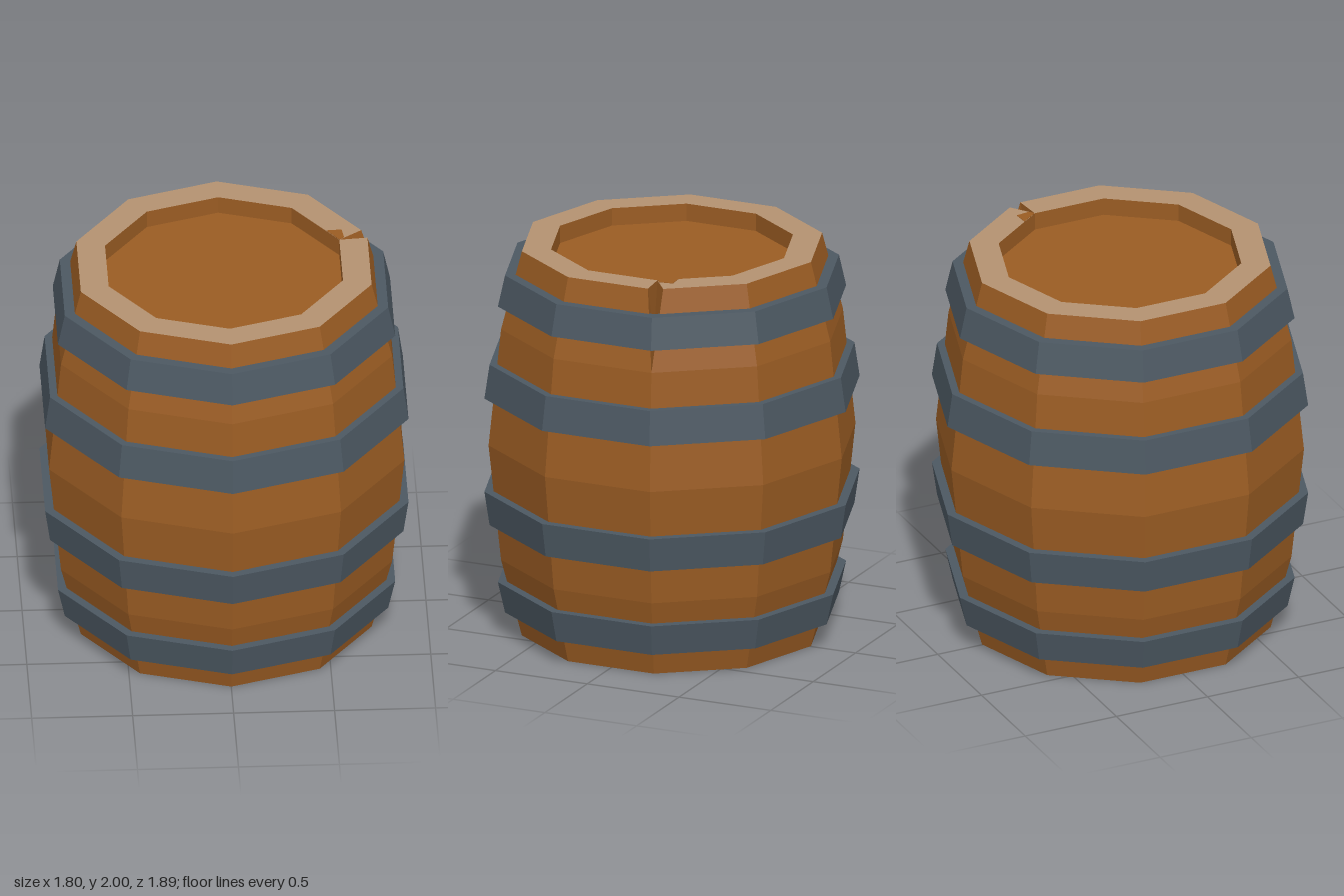
import * as THREE from 'three';

const SIDES = 10;
const INNER = 0.61;
const HEAD_INSET = 0.09;

const flat = (name, color) => Object.assign(new THREE.MeshStandardMaterial({ color, flatShading: true }), { name });

// Point on the barrel's ten-sided section; corner 0 faces +z
const corner = (k, r, y) => {
  const a = (k / SIDES) * Math.PI * 2;
  return new THREE.Vector3(r * Math.sin(a), y, r * Math.cos(a));
};

function quadsGeometry(quads) {
  const pts = quads.flatMap(([a, b, c, d]) => [a, b, c, a, c, d]);
  const g = new THREE.BufferGeometry().setFromPoints(pts);
  g.computeVertexNormals();
  return g;
}

export function createModel() {
  const wood = flat('wood', 0x9a5c23);
  const cutWood = flat('cutWood', 0xb49170);
  const iron = flat('iron', 0x4c5862);
  const barrel = new THREE.Group();
  barrel.name = 'barrel';
  const add = (name, geometry, material) => {
    const mesh = new THREE.Mesh(geometry, material);
    mesh.name = name;
    barrel.add(mesh);
    return mesh;
  };

  // Staves: bulging outside, flat cut ends and short inner walls above the heads
  const outer = [[0.757, 0], [0.862, 0.4], [0.925, 1], [0.862, 1.6], [0.757, 2]];
  const profile = [[INNER, HEAD_INSET], [INNER, 0], ...outer, [INNER, 2], [INNER, 2 - HEAD_INSET]];
  const RIM_BOTTOM = 1, TOP = 6, RIM_TOP = 6;
  const crack = 3; // corner where two staves have sprung apart at the top
  const sides = [], rims = [];
  for (let k = 0; k < SIDES; k++) {
    const left = profile.map(([r, y]) => corner(k, r, y));
    const right = profile.map(([r, y]) => corner(k + 1, r, y));
    if (k + 1 === crack) right[TOP].lerp(left[TOP], 0.07);
    if (k === crack) left[TOP].lerp(right[TOP], 0.1);
    for (let j = 0; j < profile.length - 1; j++) {
      const target = j === RIM_BOTTOM || j === RIM_TOP ? rims : sides;
      target.push([left[j], right[j], right[j + 1], left[j + 1]]);
    }
    // Side walls of the crack
    const low = corner(crack, INNER, 1.6);
    if (k + 1 === crack) sides.push([low, right[TOP + 1], right[TOP], right[TOP - 1]]);
    if (k === crack) sides.push([left[TOP - 1], left[TOP], left[TOP + 1], low]);
  }
  add('staves', quadsGeometry(sides), wood);
  add('staveEnds', quadsGeometry(rims), cutWood);

  // Recessed heads
  const head = () => new THREE.CircleGeometry(INNER, SIDES, Math.PI / 2);
  add('topHead', head().rotateX(-Math.PI / 2), wood).position.y = 2 - HEAD_INSET;
  add('bottomHead', head().rotateX(Math.PI / 2), wood).position.y = HEAD_INSET;

  // Chipped corner of the split stave at both ends
  const chip = new THREE.Shape([[0.58, 0.19], [0.605, 0.21], [0.595, 0.28], [0.52, 0.275]]
    .map(([x, y]) => new THREE.Vector2(x, y)));
  const chipGeometry = new THREE.ExtrudeGeometry(chip, { depth: 0.004, bevelEnabled: false }).rotateX(-Math.PI / 2);
  add('topChip', chipGeometry, wood).position.y = 1.998;
  add('bottomChip', chipGeometry, wood).position.y = -0.002;

  // Iron hoops: [bottom y, bottom radius, top y, top radius, inner radius]
  const hoops = [
    [0.125, 0.842, 0.285, 0.878, 0.78],
    [0.585, 0.92, 0.76, 0.946, 0.86],
    [1.245, 0.946, 1.42, 0.92, 0.86],
    [1.72, 0.878, 1.88, 0.842, 0.78],
  ];
  hoops.forEach(([y0, r0, y1, r1, inner], i) => {
    const section = [[inner, y0], [r0, y0], [r1, y1], [inner, y1]].map(([r, y]) => new THREE.Vector2(r, y));
    add(`hoop${i + 1}`, new THREE.LatheGeometry(section, SIDES), iron);
  });

  return barrel;
}
